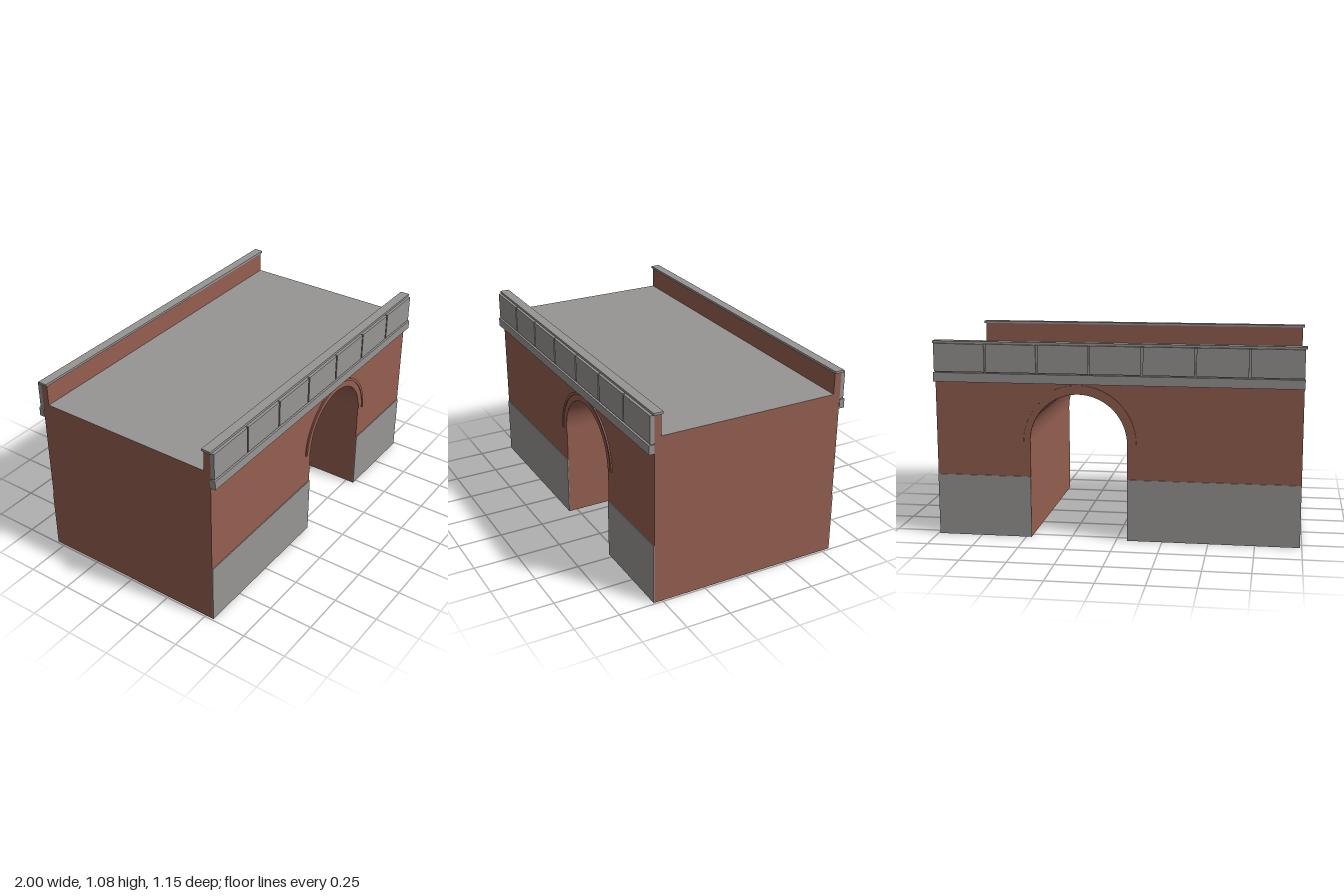
import * as THREE from 'three';

export function createModel() {
  const model = new THREE.Group();
  const brick = new THREE.MeshStandardMaterial({ color: 0x945f50, side: THREE.DoubleSide });
  brick.name = 'brick';
  const stone = new THREE.MeshStandardMaterial({ color: 0x979593, side: THREE.DoubleSide });
  stone.name = 'stone';

  const W = 0.99, D = 0.545, DECK = 0.945, PLINTH = 0.34;
  const archX = 0.205, archY = 0.535, R = 0.265;
  const left = archX - R, right = archX + R;

  function add(parent, name, geometry, material) {
    const mesh = new THREE.Mesh(geometry, material);
    mesh.name = name;
    parent.add(mesh);
    return mesh;
  }
  // Box given by its limits on each axis
  function block(parent, name, material, x0, x1, y0, y1, z0, z1) {
    const g = new THREE.BoxGeometry(x1 - x0, y1 - y0, z1 - z0);
    g.translate((x0 + x1) / 2, (y0 + y1) / 2, (z0 + z1) / 2);
    return add(parent, name, g, material);
  }
  // Half ring around the arch, standing out from the wall
  function archBand(parent, name, r0, r1, depth) {
    const s = new THREE.Shape();
    s.absarc(0, 0, r1, 0, Math.PI, false);
    s.absarc(0, 0, r0, Math.PI, 0, true);
    const g = new THREE.ExtrudeGeometry(s, { depth, bevelEnabled: false, curveSegments: 32 });
    g.translate(archX, archY, D);
    add(parent, name, g, brick);
  }

  // Wall face above the plinth, with the arch cut out of its lower edge
  const wall = new THREE.Shape();
  wall.moveTo(-W, PLINTH);
  wall.lineTo(left, PLINTH);
  wall.lineTo(left, archY);
  wall.absarc(archX, archY, R, Math.PI, 0, true);
  wall.lineTo(right, PLINTH);
  wall.lineTo(W, PLINTH);
  wall.lineTo(W, DECK);
  wall.lineTo(-W, DECK);
  wall.closePath();

  // Each long side, front and back; the back is mirrored in z
  for (const [side, sign] of [['front', 1], ['back', -1]]) {
    const face = new THREE.Group();
    face.name = side + 'Side';
    face.scale.z = sign;
    model.add(face);

    const wallGeometry = new THREE.ShapeGeometry(wall, 32);
    wallGeometry.translate(0, 0, D);
    add(face, 'brickWall', wallGeometry, brick);

    block(face, 'plinthWide', stone, -W, left, 0, PLINTH, D, D + 0.005);
    block(face, 'plinthNarrow', stone, right, W, 0, PLINTH, D, D + 0.005);

    archBand(face, 'archBand', R, 0.3, 0.003);
    archBand(face, 'archLip', 0.3, 0.315, 0.007);

    block(face, 'stringCourse', stone, -W - 0.003, W + 0.003, 0.858, 0.908, D, 0.575);
    block(face, 'parapet', brick, -W, W, DECK, 1.065, 0.505, D);
    block(face, 'parapetCap', stone, -1, 1, 1.064, 1.077, 0.5, 0.553);

    // Row of seven raised panels with narrow joints
    block(face, 'panelBacking', stone, -W + 0.004, W - 0.004, 0.908, 1.062, D, 0.558);
    const step = 2 * W / 7, joint = 0.005;
    for (let i = 0; i < 7; i++) {
      const x = -W + i * step;
      block(face, 'parapetPanel', stone,
        x + (i ? joint : 0), x + step - (i < 6 ? joint : 0), 0.913, 1.064, D, 0.568);
    }
  }

  // End walls and the jambs of the passage; the underside stays open
  function crossWall(name, x, height, facing) {
    const g = new THREE.PlaneGeometry(2 * D, height);
    g.rotateY(facing * Math.PI / 2);
    g.translate(x, height / 2, 0);
    add(model, name, g, brick);
  }
  crossWall('leftEndWall', W, DECK, 1);
  crossWall('rightEndWall', -W, DECK, -1);
  crossWall('leftJamb', right, archY, -1);
  crossWall('rightJamb', left, archY, 1);

  // Curved vault over the passage
  const vault = new THREE.CylinderGeometry(R, R, 2 * D, 32, 1, true, -Math.PI / 2, Math.PI);
  vault.rotateX(-Math.PI / 2);
  vault.translate(archX, archY, 0);
  add(model, 'vault', vault, brick);

  // Roadway
  const deck = new THREE.PlaneGeometry(2 * W, 2 * D);
  deck.rotateX(-Math.PI / 2);
  deck.translate(0, DECK, 0);
  add(model, 'deck', deck, stone);

  return model;
}
